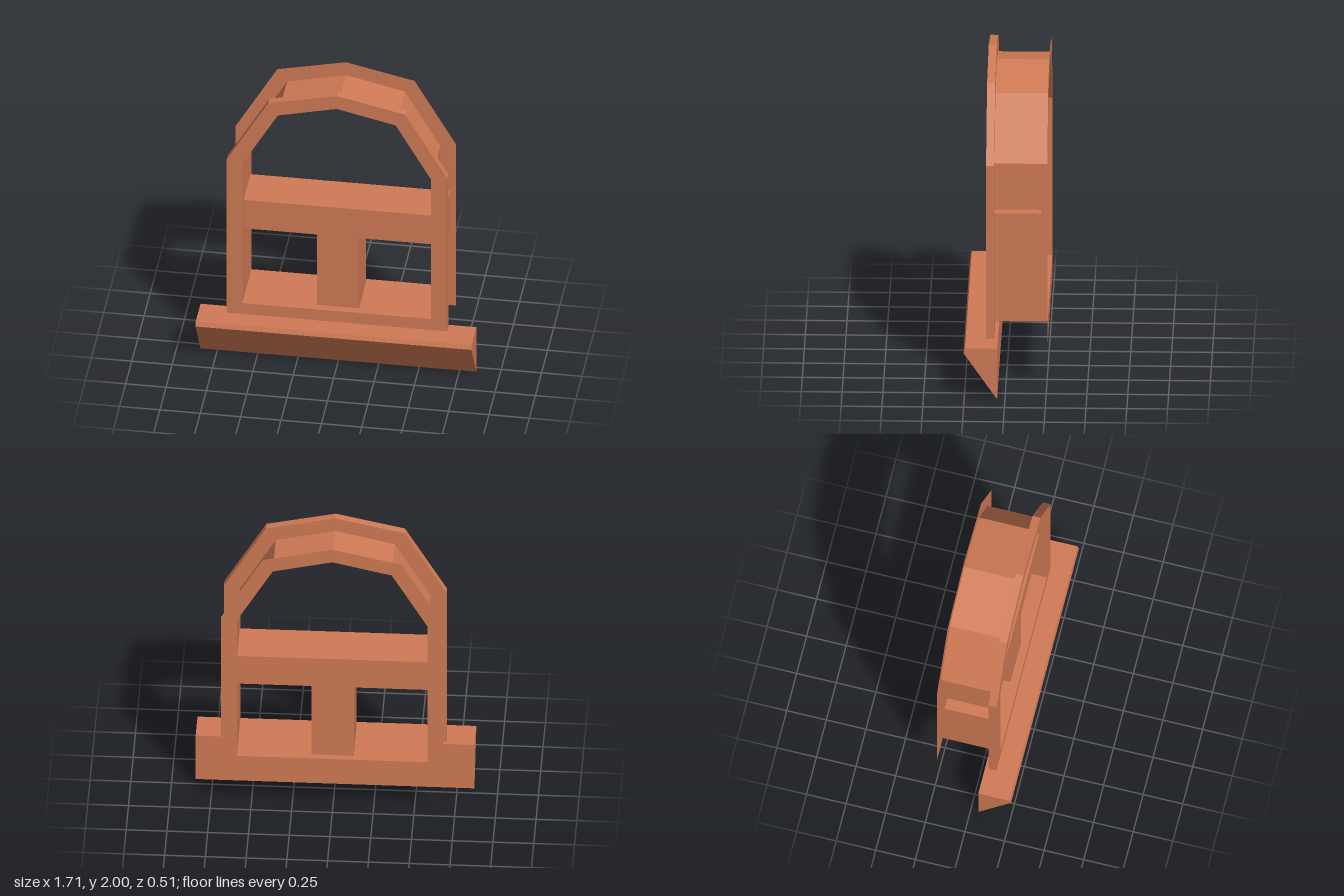
import * as THREE from 'three';

export function createModel() {
  const model = new THREE.Group();
  const material = new THREE.MeshStandardMaterial({ color: 0xd07a55, flatShading: true, side: THREE.DoubleSide });

  function add(name, geometry, x = 0, y = 0, z = 0) {
    const mesh = new THREE.Mesh(geometry, material);
    mesh.name = name;
    mesh.position.set(x, y, z);
    model.add(mesh);
  }

  // Mirrors the right half of an arch outline into a closed loop
  const mirrored = (half, peak) => [
    ...half, [0, peak], ...half.map(([x, y]) => [-x, y]).reverse(),
  ].map(([x, y]) => new THREE.Vector2(x, y));

  const outer = mirrored([[0.683, 0.27], [0.683, 1.46], [0.425, 1.905]], 2.0);
  const inner = mirrored([[0.585, 0.41], [0.585, 1.44], [0.365, 1.82]], 1.905);
  const arch = new THREE.Shape(outer);
  arch.holes.push(new THREE.Path(inner));

  // Front casing, and the paper-thin flange at the back
  const frontZ = 0.07, backZ = -0.255;
  add('frontFrame', new THREE.ExtrudeGeometry(arch, { depth: 0.05, bevelEnabled: false }), 0, 0, frontZ);
  add('backFlange', new THREE.ShapeGeometry(arch), 0, 0, backZ);

  // Thin lining joining the two around the opening
  const positions = [];
  inner.forEach((a, i) => {
    const b = inner[(i + 1) % inner.length];
    positions.push(
      a.x, a.y, frontZ, b.x, b.y, backZ, b.x, b.y, frontZ,
      a.x, a.y, frontZ, a.x, a.y, backZ, b.x, b.y, backZ,
    );
  });
  const lining = new THREE.BufferGeometry();
  lining.setAttribute('position', new THREE.Float32BufferAttribute(positions, 3));
  lining.computeVertexNormals();
  add('openingLining', lining);

  // Crossbar and post, both running through the lining
  const barDepth = 0.285, barZ = frontZ - barDepth / 2;
  add('crossbar', new THREE.BoxGeometry(1.31, 0.21, barDepth), 0, 1.035, barZ);
  add('post', new THREE.BoxGeometry(0.26, 0.61, barDepth), 0, 0.625, barZ);

  // Sill: wedge section in (z, y), swept along x
  const width = 1.71;
  const section = new THREE.Shape([[0.048, 0], [0.255, 0.3], [0.245, 0.33], [0.048, 0.33]]
    .map(([z, y]) => new THREE.Vector2(-z, y)));
  const sill = new THREE.ExtrudeGeometry(section, { depth: width, bevelEnabled: false });
  sill.rotateY(Math.PI / 2);
  add('sill', sill, -width / 2);

  return model;
}
